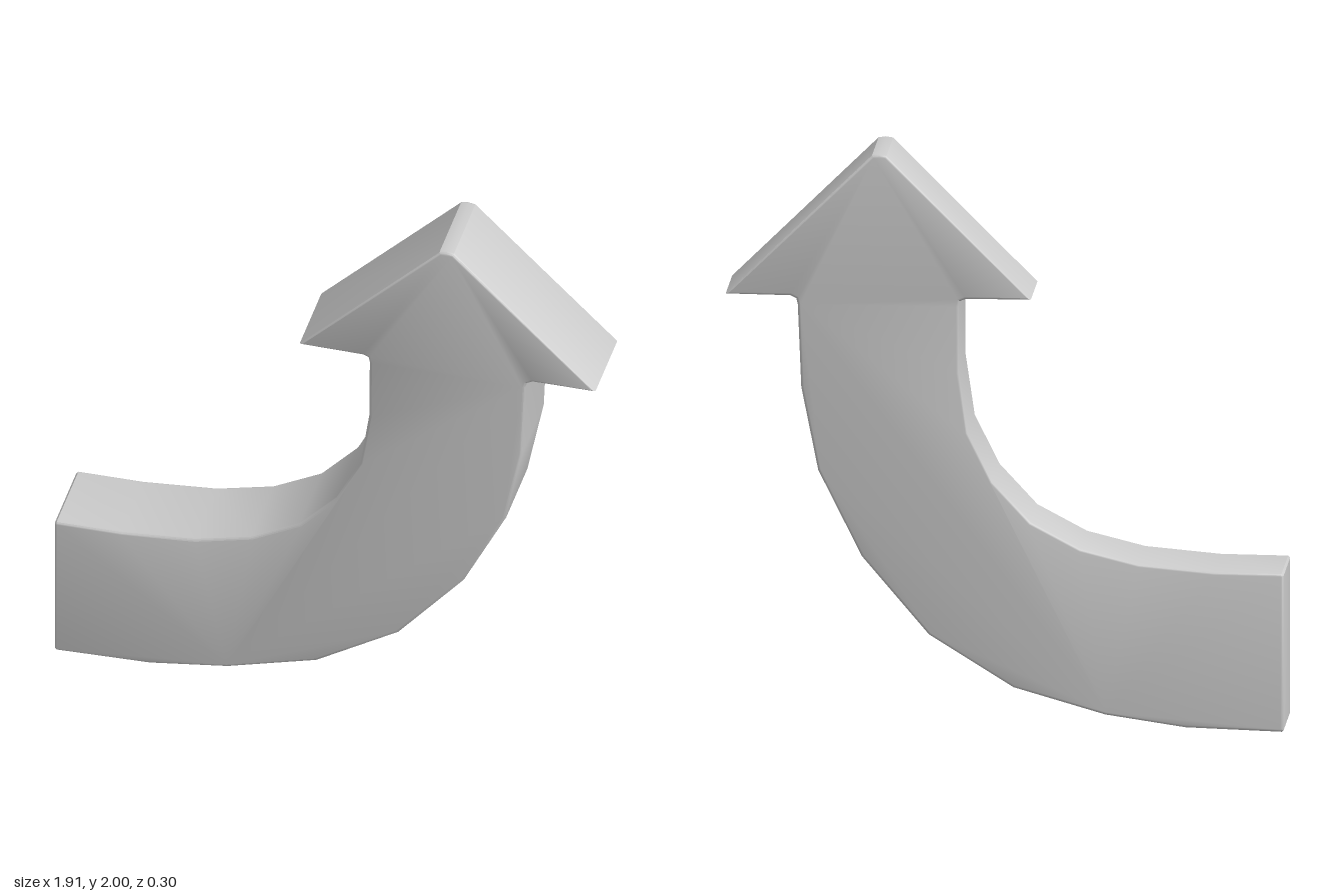
import * as THREE from 'three';
import { toCreasedNormals } from 'three/addons/utils/BufferGeometryUtils.js';

const DEPTH = 0.3;
const BEVEL = 0.01;

// Lower edge of the bend, from the tail to the neck
const outerBend = [
  [-0.95, 0], [-0.62, 0.01], [-0.345, 0.05], [-0.03, 0.14], [0.26, 0.32],
  [0.49, 0.59], [0.64, 0.89], [0.698, 1.18], [0.71, 1.47],
];

// Triangular head with a blunt tip, and small fillets where it meets the neck
const head = [
  [0.715, 1.49], [0.735, 1.5], [0.957, 1.503],
  [0.455, 1.996], [0.43, 2], [0.405, 1.996],
  [-0.09, 1.5], [0.135, 1.497], [0.153, 1.49],
];

// Upper edge of the bend, from the neck back to the tail
const innerBend = [
  [0.157, 1.47], [0.156, 1.24], [0.125, 1.03], [0.04, 0.86], [-0.09, 0.72],
  [-0.26, 0.63], [-0.46, 0.58], [-0.72, 0.557], [-0.95, 0.555],
];

// Rounded corners of the tail end
const tail = [[-0.957, 0.548], [-0.957, 0.007]];

export function createModel() {
  const outline = [...outerBend, ...head, ...innerBend, ...tail]
    .map(([x, y]) => new THREE.Vector2(x, y));

  // Solid arrow with softly bevelled front and back rims
  const solid = new THREE.ExtrudeGeometry(new THREE.Shape(outline), {
    depth: DEPTH - 2 * BEVEL,
    bevelEnabled: true,
    bevelThickness: BEVEL,
    bevelSize: BEVEL,
    bevelOffset: -BEVEL,
    bevelSegments: 3,
  });
  solid.translate(0, 0, BEVEL - DEPTH / 2);

  const arrow = new THREE.Mesh(
    toCreasedNormals(solid, 0.6),
    new THREE.MeshStandardMaterial({ color: 0xcccccc }),
  );
  arrow.name = 'curvedArrow';

  const group = new THREE.Group();
  group.name = 'upturnedArrow';
  group.add(arrow);
  return group;
}
